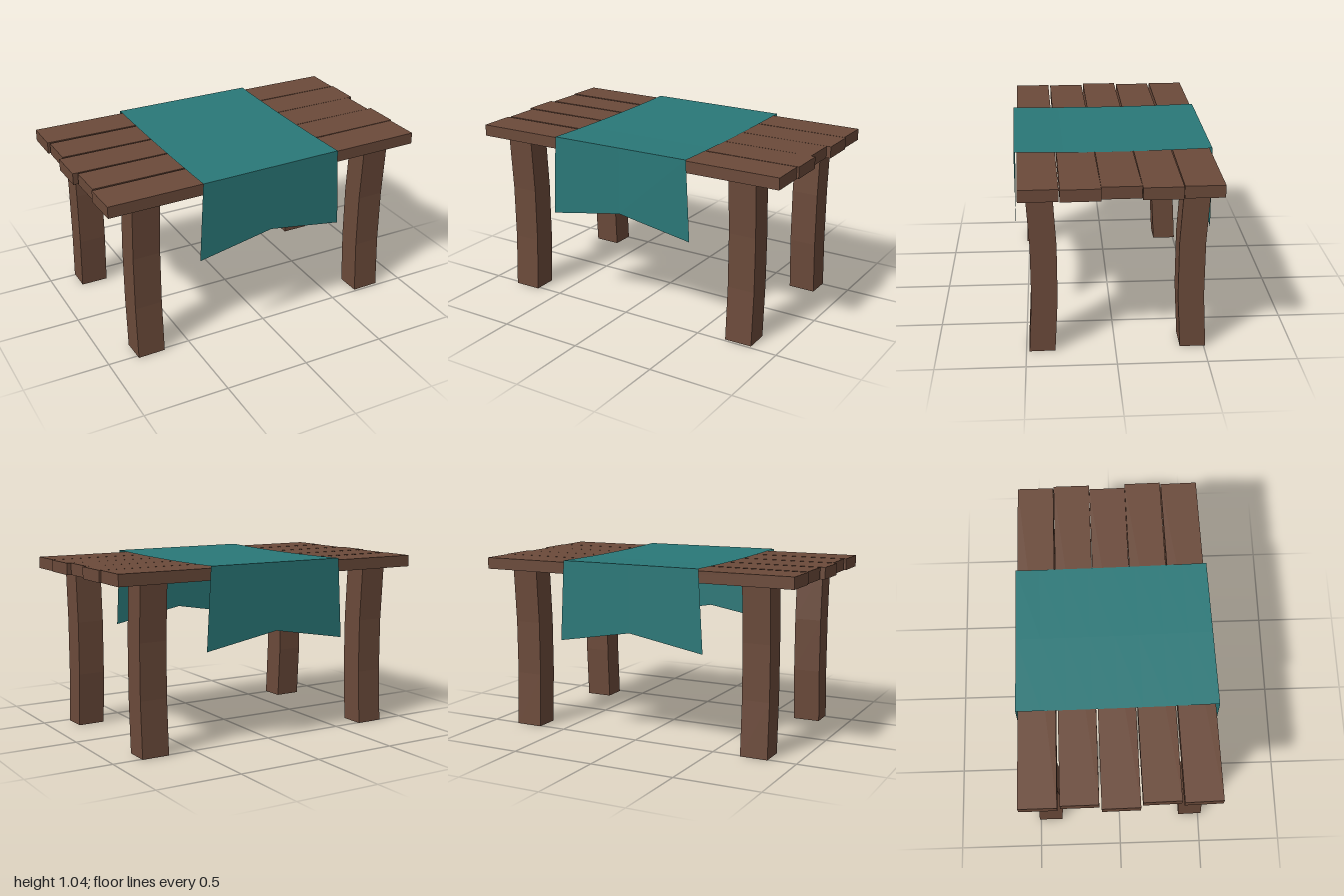
import * as THREE from 'three';

const wood = new THREE.MeshStandardMaterial({ color: 0x6b4a3a, flatShading: true, side: THREE.DoubleSide });
wood.name = 'brown wood';
const cloth = new THREE.MeshStandardMaterial({ color: 0x2a7878, flatShading: true, side: THREE.DoubleSide });
cloth.name = 'teal cloth';

const LEG_H = 0.963, TOP_Y = 1.031;

// Square leg with an open foot, bowed toward the table centre along its middle
function makeLeg(name, x, z, turn) {
  const geo = new THREE.BoxGeometry(0.163, LEG_H, 0.145, 1, 3, 1);
  const foot = geo.groups[3];
  const index = Array.from(geo.index.array);
  index.splice(foot.start, foot.count);
  geo.setIndex(index);
  geo.clearGroups();
  geo.translate(0, LEG_H / 2, 0);
  const pos = geo.attributes.position;
  for (let i = 0; i < pos.count; i++) {
    const y = pos.getY(i);
    if (y > 0.1 && y < LEG_H - 0.1) pos.setZ(i, pos.getZ(i) - Math.sign(z) * 0.018);
  }
  const leg = new THREE.Mesh(geo, wood);
  leg.name = name;
  leg.position.set(x, 0, z);
  leg.rotation.y = turn;
  return leg;
}

// Surface through rows of points, each row having the same count
function makeSheet(name, rows) {
  const n = rows[0].length, index = [];
  for (let r = 0; r < rows.length - 1; r++) {
    for (let c = 0; c < n - 1; c++) {
      const a = r * n + c, b = a + n;
      index.push(a, b, a + 1, a + 1, b, b + 1);
    }
  }
  const geo = new THREE.BufferGeometry();
  geo.setAttribute('position', new THREE.Float32BufferAttribute(rows.flat(2), 3));
  geo.setIndex(index);
  geo.computeVertexNormals();
  const mesh = new THREE.Mesh(geo, cloth);
  mesh.name = name;
  return mesh;
}

export function createModel() {
  const table = new THREE.Group();
  table.name = 'table';

  // Table top: five planks, each turned slightly more than the last
  const planks = [ // x, z, turn
    [-0.005, -0.454, 0], [0.006, -0.231, 0.006], [-0.017, -0.010, 0.012],
    [0.012, 0.210, 0.018], [0.006, 0.433, 0.022],
  ];
  const thick = TOP_Y - LEG_H;
  planks.forEach(([x, z, turn], i) => {
    const plank = new THREE.Mesh(new THREE.BoxGeometry(1.964, thick, 0.214), wood);
    plank.name = `plank${i + 1}`;
    plank.position.set(x, LEG_H + thick / 2, z);
    plank.rotation.y = turn;
    table.add(plank);
  });

  // Legs: the front pair follows the turn of the front plank
  table.add(
    makeLeg('backRightLeg', -0.752, -0.4375, 0),
    makeLeg('backLeftLeg', 0.745, -0.4375, 0),
    makeLeg('frontRightLeg', -0.743, 0.446, 0.022),
    makeLeg('frontLeftLeg', 0.753, 0.412, 0.022),
  );

  // Runner: slightly sagging top and two notched, flared flaps
  const runner = new THREE.Group();
  runner.name = 'tableRunner';
  const top = [];
  const steps = 8;
  for (let i = 0; i <= steps; i++) {
    const t = i / steps, y = 1.035 + 0.008 * (2 * t - 1) ** 2;
    const row = [
      [-0.438 + 0.011 * t, y, -0.572 + 1.144 * t],
      [-0.005 + 0.013 * t, y, -0.572 + 1.132 * t],
      [0.428 + 0.015 * t, y, -0.572 + 1.120 * t],
    ];
    top.push(row);
  }
  runner.add(makeSheet('runnerTop', top));
  const back = top[0], front = top[steps];
  runner.add(makeSheet('frontFlap', [
    front, [[-0.452, 0.57, 0.574], [0.008, 0.65, 0.561], [0.468, 0.57, 0.548]],
  ]));
  runner.add(makeSheet('backFlap', [
    [[-0.466, 0.57, -0.572], [-0.005, 0.65, -0.572], [0.455, 0.57, -0.572]], back,
  ]));
  table.add(runner);

  return table;
}
